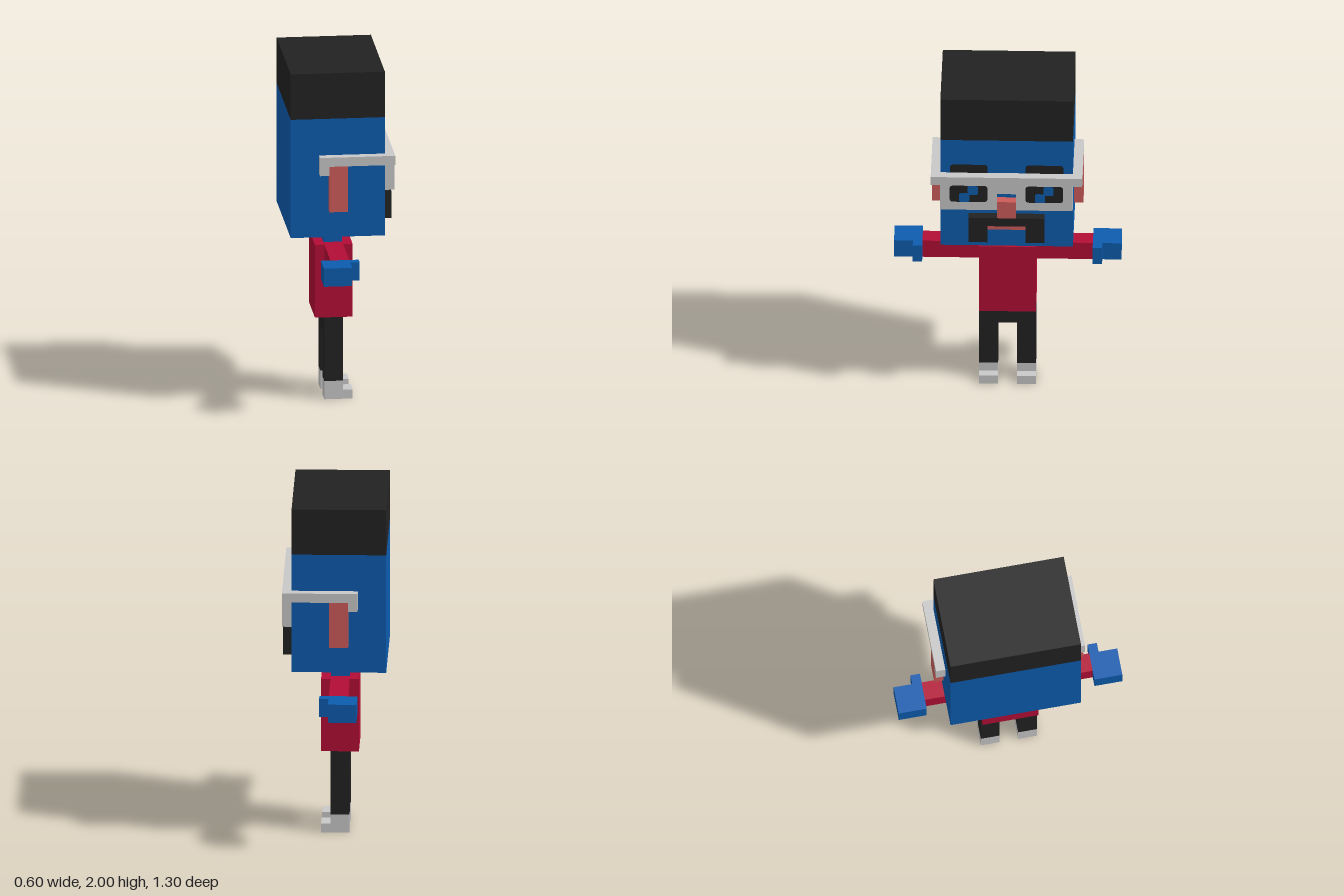
import * as THREE from 'three';

const U = 2 / 37; // one block; the figure is 37 blocks tall and faces +x

function mat(name, color) {
  const m = new THREE.MeshStandardMaterial({ color });
  m.name = name;
  return m;
}

export function createModel() {
  const blue = mat('blue skin', 0x0d5cae);
  const black = mat('black', 0x222222);
  const red = mat('red shirt', 0xb30d35);
  const grey = mat('light grey', 0xc8c8c8);
  const pink = mat('pink', 0xcd5c5a);

  const model = new THREE.Group();
  model.name = 'blockFigure';

  function add(name, geometry, material) {
    const mesh = new THREE.Mesh(geometry, material);
    mesh.name = name;
    model.add(mesh);
    return mesh;
  }

  // Box given by its limits in blocks
  function box(name, material, x0, x1, y0, y1, z0, z1) {
    const g = new THREE.BoxGeometry((x1 - x0) * U, (y1 - y0) * U, (z1 - z0) * U);
    g.translate((x0 + x1) / 2 * U, (y0 + y1) / 2 * U, (z0 + z1) / 2 * U);
    return add(name, g, material);
  }

  // The same box on both sides of the body
  function pair(name, material, x0, x1, y0, y1, z0, z1) {
    box(name + 'Left', material, x0, x1, y0, y1, -z1, -z0);
    box(name + 'Right', material, x0, x1, y0, y1, z0, z1);
  }

  // Thin painted patch facing +x, with rounded top and bottom corners
  function patch(name, material, x, y0, y1, z0, z1, top, bottom) {
    const a = -z1, b = -z0, s = new THREE.Shape();
    s.moveTo(a + bottom, y0);
    s.lineTo(b - bottom, y0);
    s.quadraticCurveTo(b, y0, b, y0 + bottom);
    s.lineTo(b, y1 - top);
    s.quadraticCurveTo(b, y1, b - top, y1);
    s.lineTo(a + top, y1);
    s.quadraticCurveTo(a, y1, a, y1 - top);
    s.lineTo(a, y0 + bottom);
    s.quadraticCurveTo(a, y0, a + bottom, y0);
    const g = new THREE.ShapeGeometry(s, 4);
    g.rotateY(Math.PI / 2);
    g.scale(U, U, U);
    g.translate(x * U, 0, 0);
    add(name, g, material);
  }

  // Head, hair and ears
  box('head', blue, -5.5, 4.5, 19, 32, -7, 7);
  box('hair', black, -5.5, 4.5, 32, 37, -7, 7);
  pair('ear', pink, -1.5, 0.5, 22, 27, 7, 8);

  // Glasses front: wide top bar and a notch above the nose
  const frame = new THREE.Shape([
    [-8, 28], [-8, 27], [-7, 27], [-7, 24], [-1, 24], [-1, 26],
    [1, 26], [1, 24], [7, 24], [7, 27], [8, 27], [8, 28],
  ].map(([x, y]) => new THREE.Vector2(x, y)));
  const frameGeo = new THREE.ExtrudeGeometry(frame, { depth: 1, bevelEnabled: false });
  frameGeo.rotateY(Math.PI / 2);
  frameGeo.translate(4.5, 0, 0);
  frameGeo.scale(U, U, U);
  add('glassesFront', frameGeo, grey);
  pair('glassesTemple', grey, -2.5, 4.5, 27, 28, 7, 8);
  pair('glassesHook', grey, -2.5, -1.5, 26, 27, 7, 8);

  // Painted lenses with two blue spots each, and eyebrows
  for (const z of [2, -6]) {
    patch('lens', black, 5.54, 25, 27, z, z + 4, 0.4, 0.4);
    patch('lensSpotUpper', blue, 5.58, 25.9, 27, z + 1, z + 2.1, 0.25, 0.25);
    patch('lensSpotLower', blue, 5.58, 25, 26.1, z + 1.9, z + 3, 0.25, 0.25);
    patch('eyebrow', black, 4.54, 28, 29, z, z + 4, 0.4, 0);
  }

  // Nose, moustache and mouth
  box('nose', pink, 4.5, 5.5, 23, 25, -1, 1);
  box('moustacheTop', black, 4.5, 5.5, 22, 23, -4, 4);
  pair('moustacheEnd', black, 4.5, 5.5, 20, 22, 2, 4);
  patch('mouth', pink, 4.54, 21, 22, -2, 2, 0.4, 0);

  // Body and arms
  box('neck', blue, -1.5, 0.5, 17, 19, -2, 2);
  box('torso', red, -2.5, 1.5, 9, 17, -3, 3);
  pair('arm', red, -1.5, 0.5, 15, 17, 3, 9);
  pair('hand', blue, -2.5, 0.5, 15, 17, 9, 12);
  pair('thumb', blue, 0.5, 1.5, 15, 17, 9, 10);

  // Trousers and shoes
  box('hips', black, -1.5, 0.5, 7, 9, -3, 3);
  pair('leg', black, -1.5, 0.5, 2, 7, 1, 3);
  pair('shoe', grey, -1.5, 0.5, 0, 2, 1, 3);
  pair('toe', grey, 0.5, 1.5, 0, 1, 1, 3);

  return model;
}
